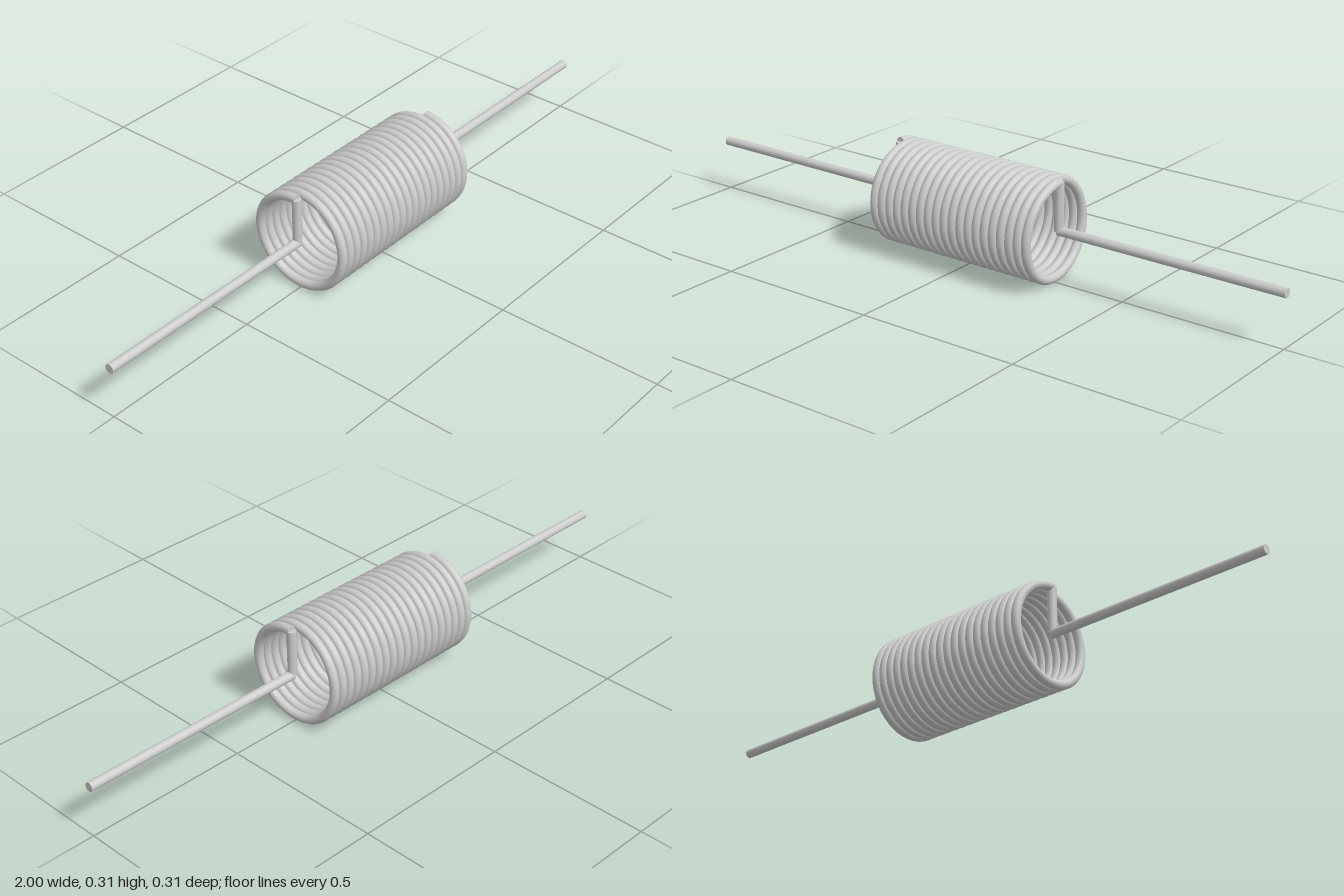
import * as THREE from 'three';

const WIRE = 0.0138;   // wire radius
const COIL = 0.1437;   // radius of the coil's centre line
const AXIS = COIL + WIRE;
const HALF = 0.285;    // half length of the coil's centre line
const TURNS = 20;

// Helix along x, starting and ending at the top and turning to the back first
class Helix extends THREE.Curve {
  getPoint(t, target = new THREE.Vector3()) {
    const a = t * TURNS * Math.PI * 2;
    return target.set(-HALF + 2 * HALF * t, COIL * Math.cos(a), -COIL * Math.sin(a));
  }
}

export function createModel() {
  const group = new THREE.Group();
  const material = new THREE.MeshStandardMaterial({ color: 0xcccccc });

  function add(name, geometry, x = 0, y = 0, z = 0) {
    const mesh = new THREE.Mesh(geometry, material);
    mesh.name = name;
    mesh.position.set(x, y, z);
    group.add(mesh);
    return mesh;
  }

  // Wound coil
  const helix = new Helix();
  add('coil', new THREE.TubeGeometry(helix, TURNS * 64, WIRE, 16, false), 0, AXIS, 0);

  for (const side of [-1, 1]) {
    const label = side > 0 ? 'left' : 'right';

    // Flat cut closing the wire end
    const t = side > 0 ? 1 : 0;
    const cap = add(label + 'CoilEnd', new THREE.CircleGeometry(WIRE, 16));
    cap.position.copy(helix.getPoint(t)).setY(AXIS + COIL);
    cap.lookAt(cap.position.clone().addScaledVector(helix.getTangent(t), side));

    // Spoke from the axis up to the wire end
    add(label + 'Spoke', new THREE.CylinderGeometry(WIRE, WIRE, COIL, 24),
      side * HALF, AXIS + COIL / 2, 0);

    // Straight lead along the axis
    const lead = add(label + 'Lead', new THREE.CylinderGeometry(WIRE, WIRE, 1 - HALF, 24),
      side * (1 + HALF) / 2, AXIS, 0);
    lead.rotation.z = Math.PI / 2;
  }
  return group;
}
